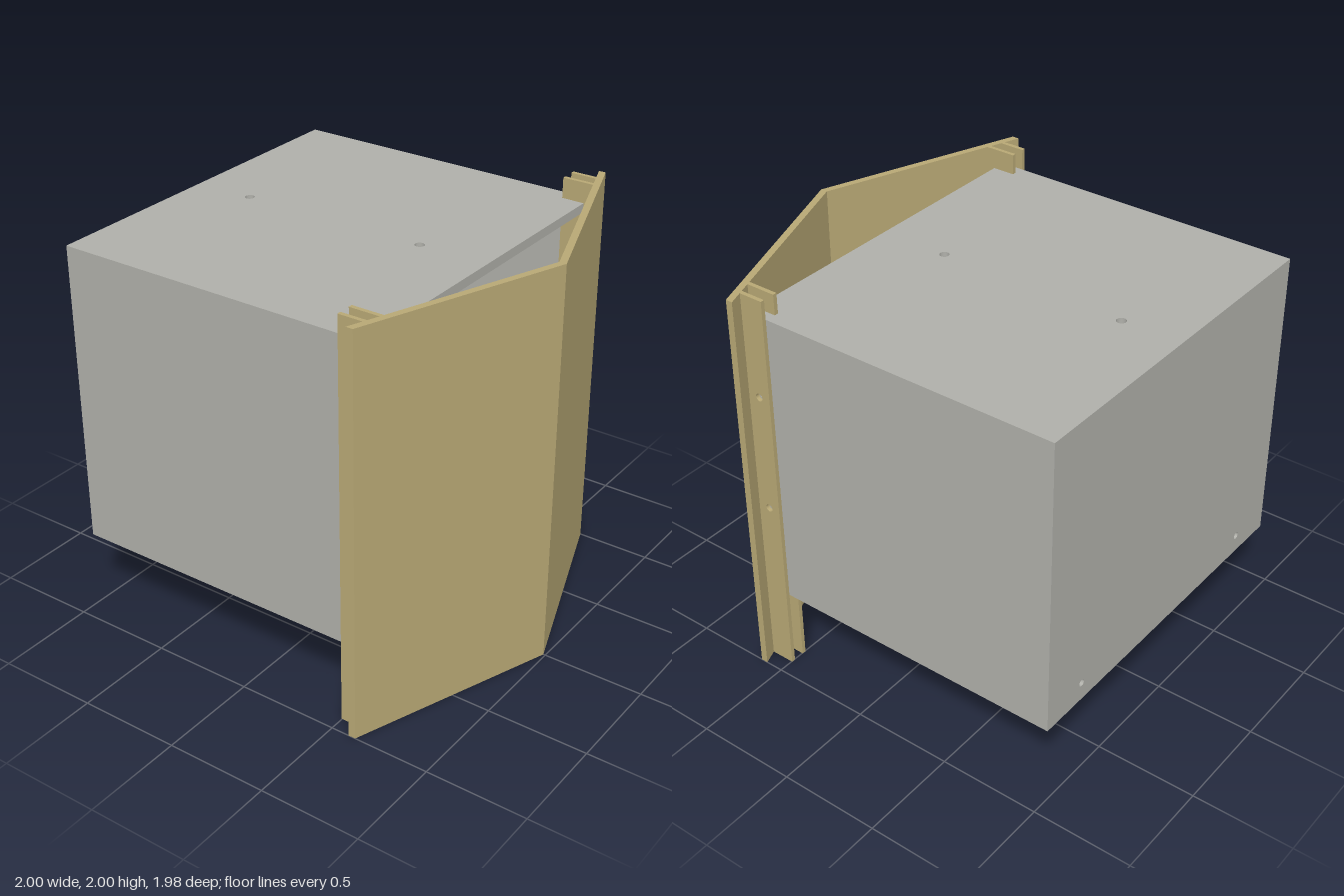
import * as THREE from 'three';

const T = 0.045; // hood wall thickness

// Flat outline with round holes [x, y, radius], extruded to a given depth
function plate(points, depth, holes = []) {
  const shape = new THREE.Shape(points.map(([x, y]) => new THREE.Vector2(x, y)));
  for (const [x, y, r] of holes) {
    shape.holes.push(new THREE.Path().absarc(x, y, r, 0, Math.PI * 2, true));
  }
  return new THREE.ExtrudeGeometry(shape, { depth, bevelEnabled: false, curveSegments: 16 });
}

const rect = (x0, y0, x1, y1) => [[x0, y0], [x1, y0], [x1, y1], [x0, y1]];

// Upright sheet in the z-y plane, from x0 to x0 + depth
function sidePlate(z0, y0, z1, y1, x0, depth, holes) {
  return plate(rect(z0, y0, z1, y1), depth, holes).rotateY(-Math.PI / 2).translate(x0 + depth, 0, 0);
}

// Outline drawn in x-z, extruded downwards from the height top
function levelPlate(points, top, depth, holes) {
  return plate(points, depth, holes).rotateX(Math.PI / 2).translate(0, top, 0);
}

export function createModel() {
  const tan = new THREE.MeshStandardMaterial({ color: 0xb8a875 });
  tan.name = 'tan';
  const grey = new THREE.MeshStandardMaterial({ color: 0xb0b0aa });
  grey.name = 'grey';

  const model = new THREE.Group();
  model.name = 'boxWithFoldedFront';
  const hood = new THREE.Group();
  hood.name = 'hood';
  const front = new THREE.Group();
  front.name = 'front';
  model.add(hood, front);

  const add = (parent, name, geometry, material) => {
    const mesh = new THREE.Mesh(geometry, material);
    mesh.name = name;
    parent.add(mesh);
  };

  // Hood: open at the front and the bottom
  add(hood, 'hoodTop', levelPlate(rect(-0.9, -0.99, 0.9, 0.61), 1.9, T,
    [[0, -0.69, 0.023], [0, 0.26, 0.023]]), grey);
  add(hood, 'hoodBack', plate(rect(-0.9 + T, 0.4, 0.9 - T, 1.9 - T), T,
    [[-0.65, 0.495, 0.018], [0.65, 0.495, 0.018]]).translate(0, 0, -0.99), grey);

  // V-shaped front panel
  add(front, 'foldedPanel', levelPlate([
    [-1, 0.59], [-1, 0.625], [0, 0.99], [1, 0.625], [1, 0.59], [0, 0.955],
  ], 2, 2), tan);

  // Side walls, and the paired rails that grip them
  const bolts = [[0.557, 0.9, 0.019], [0.557, 1.5, 0.019]];
  for (const [label, s] of [['left', 1], ['right', -1]]) {
    const start = (inner, width) => (s > 0 ? inner : -inner - width);
    add(hood, `${label}Wall`,
      sidePlate(-0.99, 0.4, 0.61, 1.9 - T, start(0.9 - T, T), T, bolts), grey);
    add(front, `${label}InnerRail`,
      sidePlate(0.497, 0, 0.66, 2, start(0.83, 0.02), 0.02, bolts), tan);
    add(front, `${label}OuterRail`,
      sidePlate(0.497, 0, 0.635, 2, start(0.905, 0.02), 0.02, bolts), tan);
  }
  return model;
}
